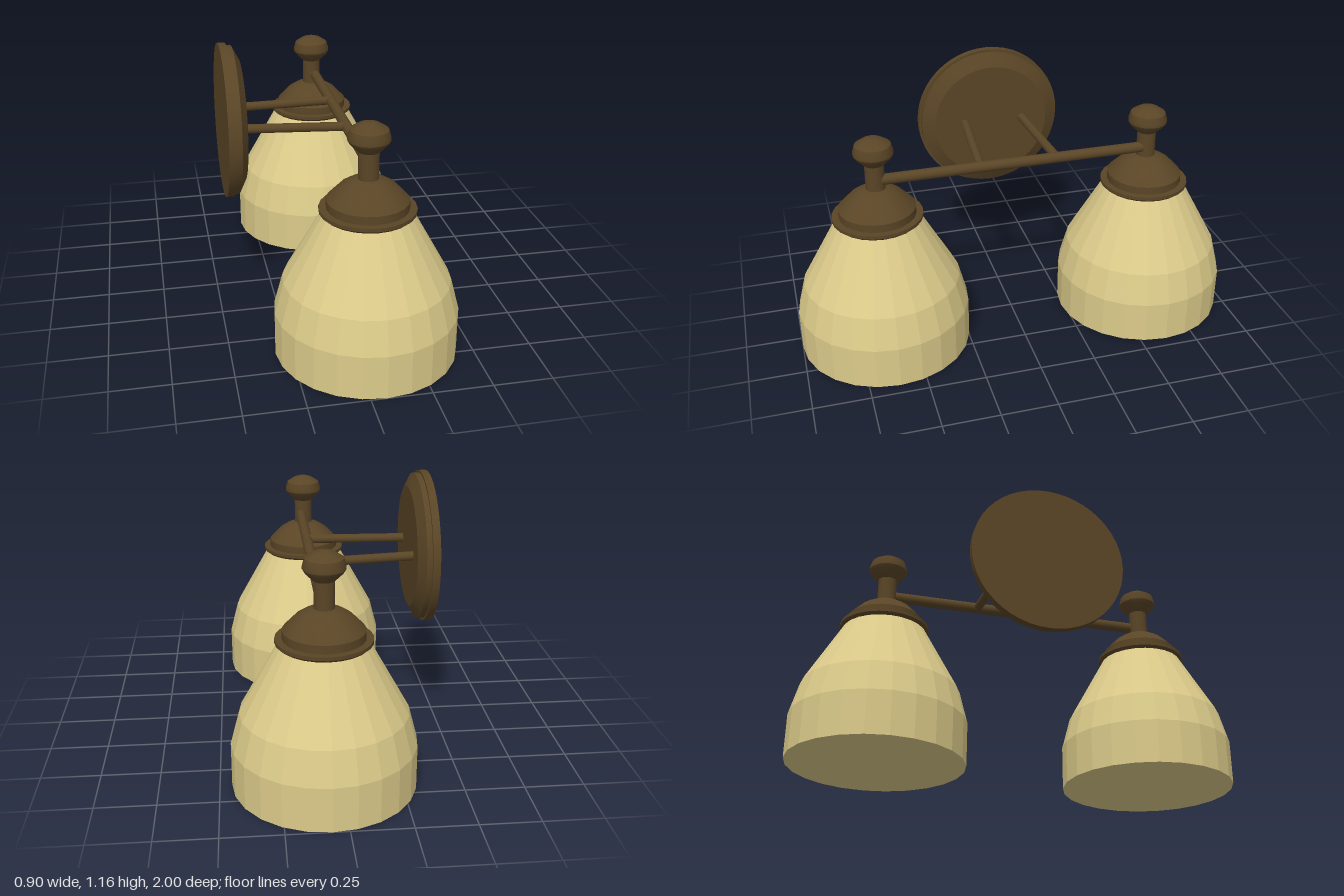
import * as THREE from 'three';
import { toCreasedNormals } from 'three/addons/utils/BufferGeometryUtils.js';

const bronze = new THREE.MeshStandardMaterial({ color: 0x5a4526 });
const glass = new THREE.MeshStandardMaterial({ color: 0xdccb8a, flatShading: true });

// Turned part from [radius, height] pairs, listed bottom to top
function turned(name, profile, sides, material) {
  const points = profile.map(([r, y]) => new THREE.Vector2(r, y));
  const lathe = new THREE.LatheGeometry(points, sides);
  const mesh = new THREE.Mesh(toCreasedNormals(lathe, 0.45), material);
  mesh.name = name;
  return mesh;
}

// Round rod between two points
function rod(name, from, to, radius) {
  const a = new THREE.Vector3(...from);
  const b = new THREE.Vector3(...to);
  const mesh = new THREE.Mesh(new THREE.CylinderGeometry(radius, radius, a.distanceTo(b), 16), bronze);
  mesh.position.copy(a).add(b).multiplyScalar(0.5);
  mesh.quaternion.setFromUnitVectors(new THREE.Vector3(0, 1, 0), b.sub(a).normalize());
  mesh.name = name;
  return mesh;
}

// One lamp: closed bell shade, stepped cap, stem and finial
function createLamp() {
  const lamp = new THREE.Group();
  lamp.add(
    turned('shade', [[0, 0], [0.383, 0], [0.383, 0.19], [0.346, 0.33], [0.182, 0.625], [0, 0.625]], 24, glass),
    turned('cap', [
      [0, 0.617], [0.183, 0.617], [0.198, 0.63], [0.198, 0.645], [0.168, 0.645],
      [0.168, 0.68], [0.115, 0.735], [0.08, 0.757], [0.042, 0.77], [0, 0.77],
    ], 24, bronze),
    turned('stem', [[0.042, 0.76], [0.042, 0.9]], 24, bronze),
    turned('finial', [
      [0, 0.885], [0.045, 0.885], [0.078, 0.918], [0.086, 0.932], [0.086, 0.945],
      [0.077, 0.975], [0.045, 0.996], [0.02, 1.004], [0, 1.005],
    ], 24, bronze),
  );
  return lamp;
}

export function createModel() {
  const model = new THREE.Group();
  model.name = 'wallLamp';

  // Pair of lamps
  for (const side of [-1, 1]) {
    const lamp = createLamp();
    lamp.name = side > 0 ? 'frontLamp' : 'backLamp';
    lamp.position.set(0.067, 0, side * 0.617);
    model.add(lamp);
  }

  // Crossbar joining the stems
  model.add(rod('crossbar', [0.08, 0.812, -0.617], [0.08, 0.812, 0.617], 0.024));

  // Arms from the wall plate to the crossbar
  model.add(
    rod('backArm', [-0.38, 0.82, -0.152], [0.08, 0.813, -0.188], 0.02),
    rod('frontArm', [-0.38, 0.82, 0.122], [0.08, 0.813, 0.158], 0.02),
  );

  // Stepped round wall plate, tipped very slightly downwards
  const plate = turned('wallPlate', [
    [0, 0], [0.338, 0], [0.338, 0.033], [0.327, 0.033], [0.327, 0.057], [0.27, 0.087], [0, 0.087],
  ], 48, bronze);
  plate.position.set(-0.449, 0.819, -0.003);
  plate.rotation.z = -Math.PI / 2 - 0.008;
  model.add(plate);

  return model;
}
